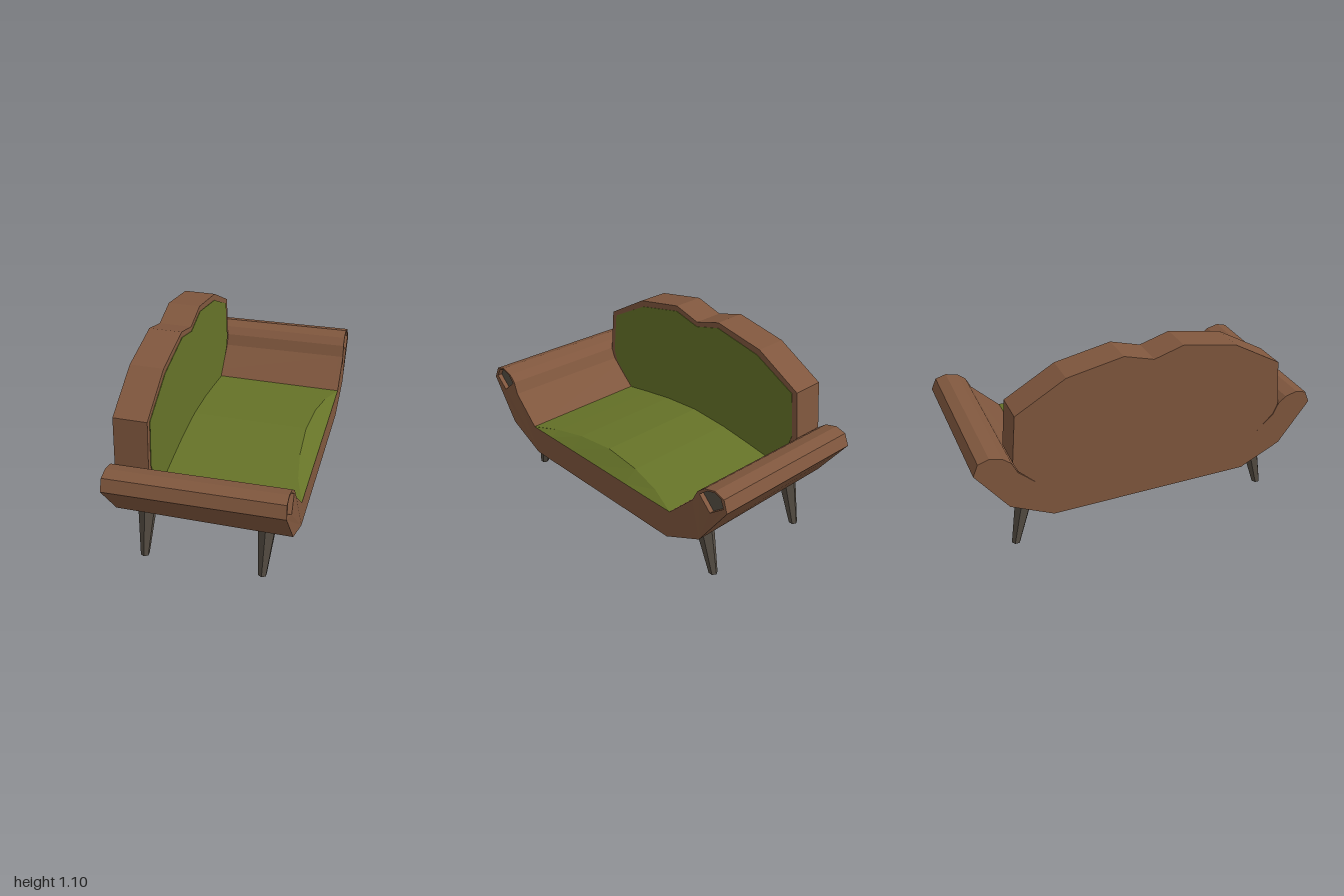
import * as THREE from 'three';

const mat = (color, side = THREE.FrontSide) =>
  new THREE.MeshStandardMaterial({ color, side, flatShading: true });

// Closed outline in (z, y) from its +z half, listed bottom to top
function mirrored(half) {
  const other = half.filter(([z]) => z !== 0).reverse().map(([z, y]) => [-z, y]);
  return [...half, ...other];
}
const toPoints = (list) => list.map(([z, y]) => new THREE.Vector2(z, y));

// Extrude a (z, y) outline along x from x0 to x1
function slab(outline, x0, x1, holes = []) {
  const shape = new THREE.Shape(toPoints(outline));
  holes.forEach((h) => shape.holes.push(new THREE.Path(toPoints(h))));
  const geo = new THREE.ExtrudeGeometry(shape, { depth: x1 - x0, bevelEnabled: false });
  geo.rotateY(Math.PI / 2);
  geo.translate(x0, 0, 0);
  return geo;
}

// The arm rolls rise slightly to the front and their front ends lean back
function leanArms(geo) {
  const p = geo.attributes.position;
  for (let i = 0; i < p.count; i++) {
    const x = p.getX(i), y = p.getY(i);
    if (y > 0.5) p.setY(i, y + 0.015 * x);
    if (x > 0.4 && y > 0.54) p.setX(i, x - (y - 0.54) * 0.08);
  }
  geo.computeVertexNormals();
  return geo;
}

export function createModel() {
  const sofa = new THREE.Group();
  sofa.name = 'sofa';
  const wood = mat(0x80573e);
  const fabric = mat(0x667328);
  const dark = mat(0x564e44);
  const add = (name, geo, material, parent = sofa) => {
    const mesh = new THREE.Mesh(geo, material);
    mesh.name = name;
    parent.add(mesh);
    return mesh;
  };

  // Base with flared, scrolled arms; the front layer has recesses in the scrolls
  const armSide = [
    [0.58, 0.225], [0.82, 0.34], [1.0, 0.585], [0.972, 0.652], [0.91, 0.67],
    [0.84, 0.652], [0.795, 0.615], [0.765, 0.55], [0.6, 0.395],
  ];
  const body = mirrored(armSide);
  const scroll = [[0.975, 0.6], [0.95, 0.648], [0.91, 0.66], [0.86, 0.647], [0.81, 0.605], [0.89, 0.535]];
  const scrollRight = scroll.map(([z, y]) => [-z, y]);
  add('frame', leanArms(slab(body, -0.485, 0.455)), wood);
  add('frameFront', leanArms(slab(body, 0.455, 0.485, [scroll, scrollRight])), wood);
  [['leftScrollInset', scroll], ['rightScrollInset', scrollRight]].forEach(([name, s]) =>
    add(name, leanArms(slab(s, 0.45, 0.458)), dark));

  // Scalloped backrest with an upholstered panel
  const back = mirrored([
    [0.6, 0.39], [0.765, 0.55], [0.79, 0.61], [0.765, 0.88],
    [0.485, 1.04], [0.17, 1.1], [0, 1.05],
  ]);
  add('backrest', slab(back, -0.485, -0.297), wood);
  const panel = mirrored([
    [0.59, 0.395], [0.735, 0.54], [0.758, 0.61], [0.732, 0.865],
    [0.47, 1.005], [0.17, 1.067], [0, 1.022],
  ]);
  add('backPanel', slab(panel, -0.3, -0.294), fabric);

  // Domed seat cushion with a sloping crescent front
  const rows = [
    [0.6, 0.397, 0.485], [0.43, 0.425, 0.43], [0.24, 0.453, 0.402], [0, 0.47, 0.39],
  ];
  const crest = [
    ...rows.map(([z, y, x]) => [-z, y, x]),
    ...rows.slice(0, 3).reverse(),
  ];
  const verts = [];
  const quad = (a, b, c, d) => verts.push(...a, ...b, ...c, ...a, ...c, ...d);
  for (let i = 0; i < crest.length - 1; i++) {
    const [z0, y0, x0] = crest[i], [z1, y1, x1] = crest[i + 1];
    quad([-0.3, y0, z0], [-0.3, y1, z1], [x1, y1, z1], [x0, y0, z0]);
    quad([x0, y0, z0], [x1, y1, z1], [0.485, 0.395, z1], [0.485, 0.395, z0]);
  }
  const seat = new THREE.BufferGeometry();
  seat.setAttribute('position', new THREE.Float32BufferAttribute(verts, 3));
  seat.computeVertexNormals();
  add('seatCushion', seat, mat(0x667328, THREE.DoubleSide));

  // Tapered legs, splayed outwards
  const legs = new THREE.Group();
  legs.name = 'legs';
  sofa.add(legs);
  for (const footX of [-0.36, 0.315]) {
    for (const side of [1, -1]) {
      const geo = new THREE.CylinderGeometry(0.056, 0.025, 0.325, 6);
      geo.translate(0, 0.1625, 0);
      const p = geo.attributes.position;
      for (let i = 0; i < p.count; i++) {
        const t = p.getY(i) / 0.325;
        p.setX(i, p.getX(i) + 0.01 * t);
        p.setZ(i, p.getZ(i) - side * 0.075 * t);
      }
      geo.computeVertexNormals();
      const leg = add(side > 0 ? 'leftLeg' : 'rightLeg', geo, dark, legs);
      leg.position.set(footX, 0, side * 0.77);
    }
  }
  return sofa;
}
